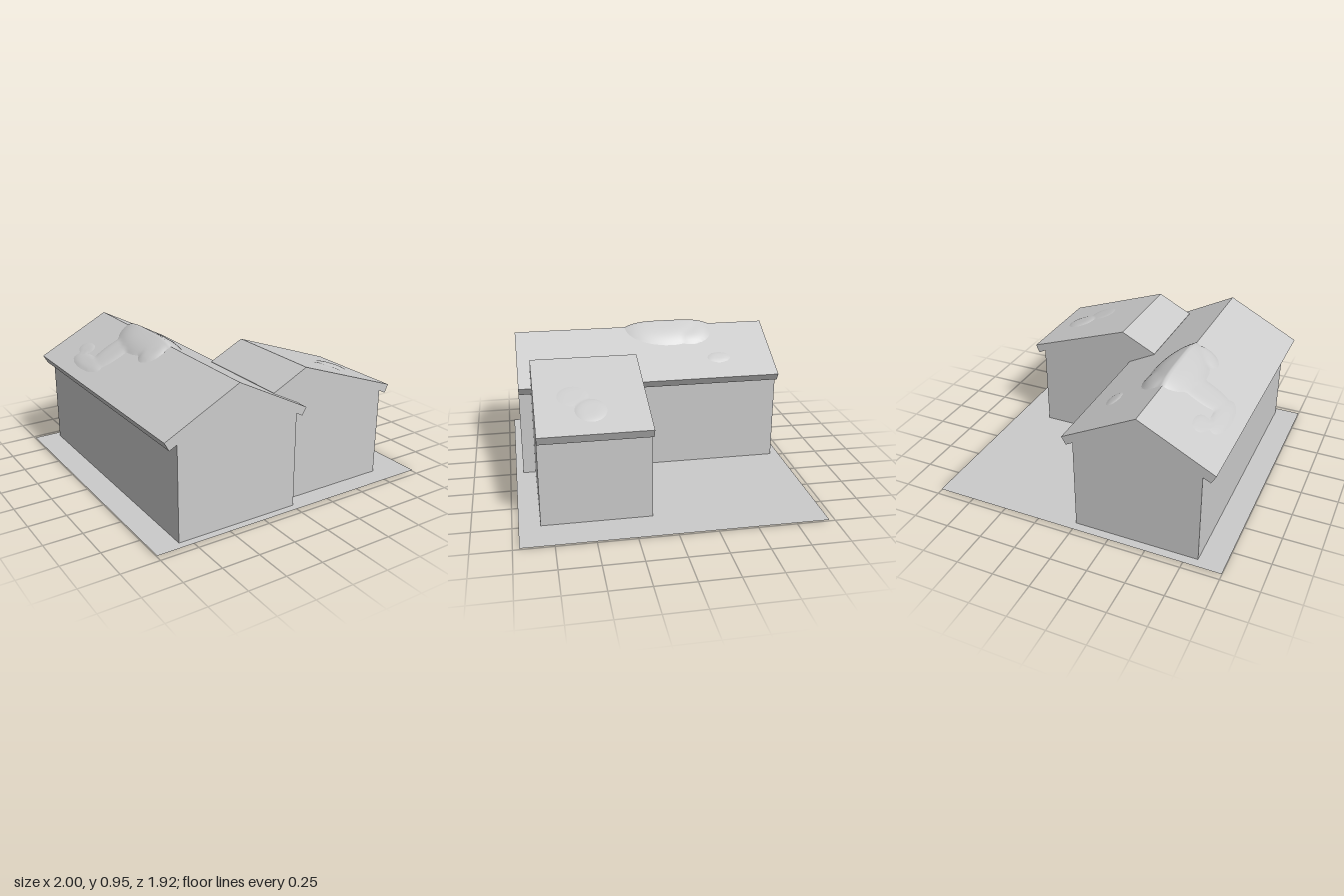
import * as THREE from 'three';

const grey = (opts = {}) => new THREE.MeshStandardMaterial({ color: 0xcccccc, ...opts });

// Gabled body: wall and roof outline in x/y, run along z.
function gableBody(name, outline, zBack, zFront) {
  const shape = new THREE.Shape(outline.map(([x, y]) => new THREE.Vector2(x, y)));
  const geo = new THREE.ExtrudeGeometry(shape, { depth: zFront - zBack, bevelEnabled: false });
  geo.translate(0, 0, zBack);
  const mesh = new THREE.Mesh(geo, grey({ flatShading: true }));
  mesh.name = name;
  return mesh;
}

// Soft sheet following a roof; it rises above it only where a lump is.
// lumps: [centreX, centreZ, radiusX, radiusZ, height]
function roofSheet(name, [x0, x1, z0, z1], roofY, lumps) {
  const geo = new THREE.PlaneGeometry(x1 - x0, z1 - z0, 56, 56).rotateX(-Math.PI / 2);
  geo.translate((x0 + x1) / 2, 0, (z0 + z1) / 2);
  const p = geo.attributes.position;
  for (let i = 0; i < p.count; i++) {
    const x = p.getX(i), z = p.getZ(i);
    let rise = -0.008;
    for (const [cx, cz, rx, rz, h] of lumps) {
      const d2 = ((x - cx) / rx) ** 2 + ((z - cz) / rz) ** 2;
      rise = Math.max(rise, h * (1 - d2 * d2));
    }
    p.setY(i, roofY(x) + rise);
  }
  geo.computeVertexNormals();
  const mesh = new THREE.Mesh(geo, grey());
  mesh.name = name;
  return mesh;
}

export function createModel() {
  const model = new THREE.Group();
  model.name = 'house';

  // Ground sheet
  const ground = new THREE.Mesh(
    new THREE.PlaneGeometry(2, 1.92).rotateX(-Math.PI / 2),
    grey({ side: THREE.DoubleSide })
  );
  ground.position.y = 0.008;
  ground.name = 'ground';
  model.add(ground);

  // Long main house, with turned-in eaves
  model.add(gableBody('mainHouse', [
    [-0.83, 0], [0, 0], [0, 0.635], [0.045, 0.61], [0.075, 0.66],
    [-0.415, 0.915], [-0.91, 0.66], [-0.88, 0.605], [-0.83, 0.63],
  ], -0.9, 0.91));

  // Side wing, its short slope running into the main roof
  model.add(gableBody('sideWing', [
    [-0.01, 0], [0.76, 0], [0.76, 0.6], [0.81, 0.575], [0.835, 0.63],
    [0.13, 0.88], [-0.11, 0.76], [-0.09, 0.7], [-0.01, 0.7],
  ], 0.12, 0.825));

  // Lumps over the ridge and slopes of the main roof
  const mainRoofY = (x) => 0.915 - 0.518 * Math.abs(x + 0.415);
  model.add(roofSheet('mainRoofLumps', [-0.875, 0.045, -0.68, 0.2], mainRoofY, [
    [-0.41, -0.19, 0.18, 0.31, 0.038],
    [-0.35, -0.34, 0.12, 0.16, 0.03],
    [-0.5, 0.03, 0.1, 0.1, 0.02],
    [-0.62, -0.3, 0.2, 0.12, 0.011],
    [-0.78, -0.4, 0.06, 0.2, 0.012],
    [-0.7, -0.58, 0.05, 0.09, 0.005],
    [-0.1, -0.51, 0.045, 0.08, 0.006],
  ]));

  // Shallow lump on the wing's long slope
  const wingRoofY = (x) => 0.88 - 0.355 * (x - 0.13);
  model.add(roofSheet('wingRoofLump', [0.36, 0.78, 0.3, 0.74], wingRoofY, [
    [0.63, 0.48, 0.1, 0.1, 0.01],
    [0.5, 0.58, 0.09, 0.1, 0.004],
  ]));

  return model;
}
